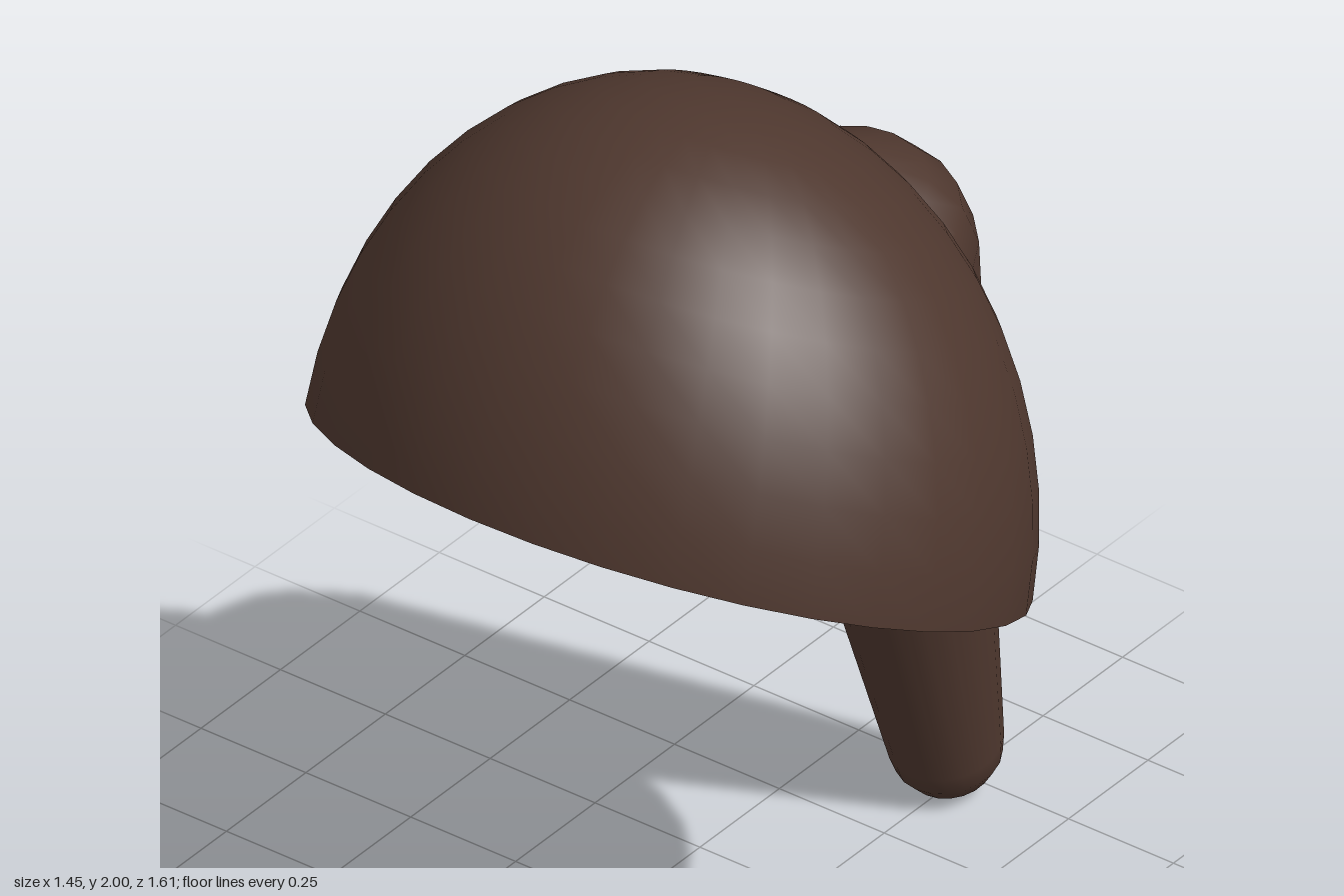
import * as THREE from 'three';

export function createModel() {
  const group = new THREE.Group();
  const brown = new THREE.MeshStandardMaterial({ color: 0x4e372e, side: THREE.DoubleSide });
  brown.name = 'dark brown';

  // Open dome: a half sphere tipped back, then stretched along the upright axes
  const dome = new THREE.SphereGeometry(1, 32, 12, 0, Math.PI * 2, 0, Math.PI / 2);
  dome.rotateX(-0.349);
  dome.scale(0.725, 0.8785, 0.669);
  const cap = new THREE.Mesh(dome, brown);
  cap.name = 'hairCap';
  cap.position.set(0, 1.1215, 0.178);
  group.add(cap);

  // Tapered capsule, narrow at the bottom, leaning forward at the top
  const low = new THREE.Vector3(0, 0.112, -0.692);
  const high = new THREE.Vector3(0, 1.383, -0.398);
  const axis = high.clone().sub(low);
  const rLow = 0.113, rHigh = 0.244, steps = 4;
  const profile = [];
  const addCap = (radius, y, from) => {
    for (let i = 0; i <= steps; i++) {
      const a = from + (i / steps) * Math.PI / 2;
      profile.push(new THREE.Vector2(Math.max(0, radius * Math.cos(a)), y + radius * Math.sin(a)));
    }
  };
  addCap(rLow, 0, -Math.PI / 2);
  addCap(rHigh, axis.length(), 0);
  const tail = new THREE.Mesh(new THREE.LatheGeometry(profile, 20), brown);
  tail.name = 'ponytail';
  tail.position.copy(low);
  tail.rotation.x = Math.atan2(axis.z, axis.y);
  group.add(tail);

  return group;
}
